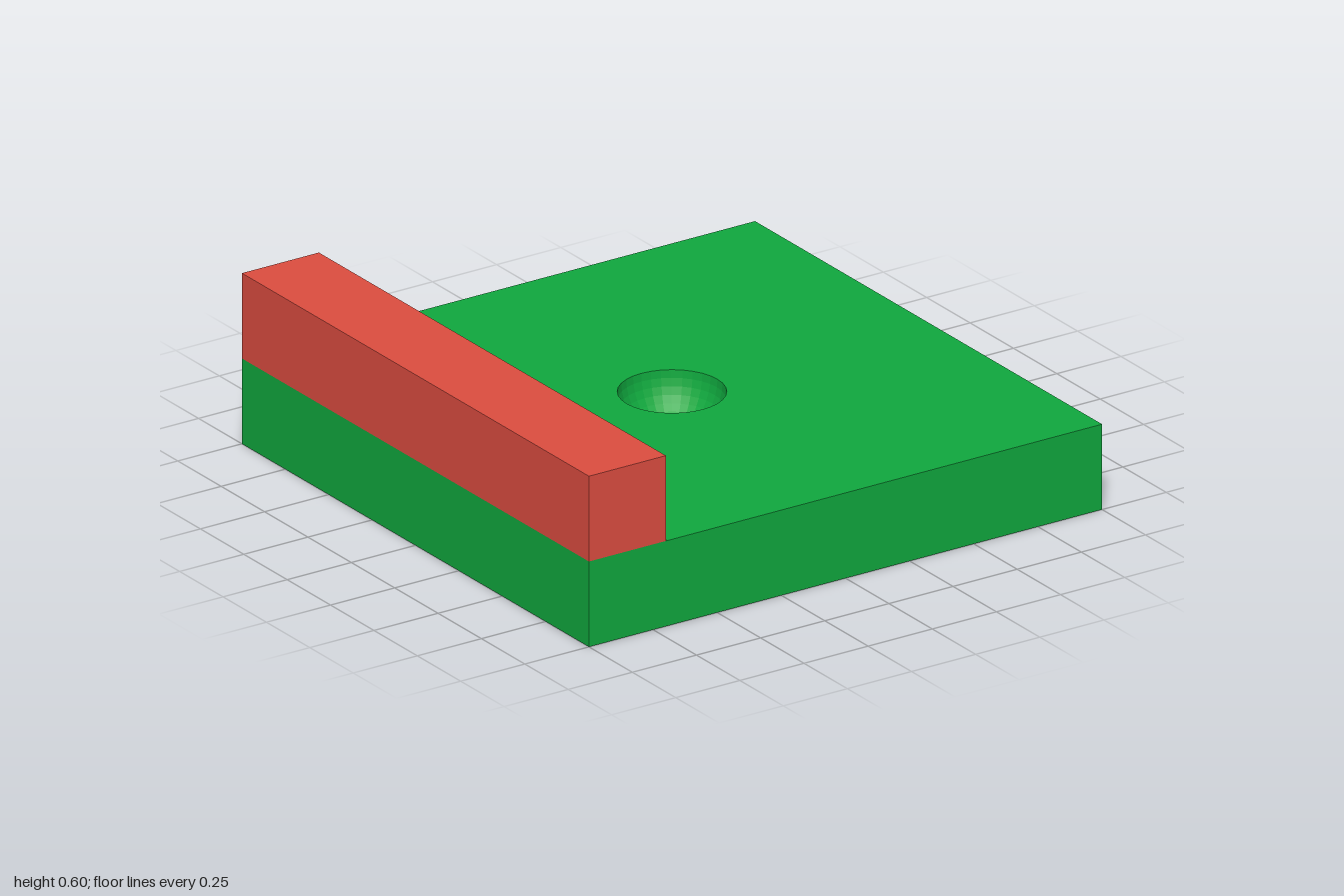
import * as THREE from 'three';

const GREEN = 0x10a83e, RED = 0xdd4d40;
const SIZE = 2, THICK = 0.3, BAR = 0.3, R = 0.177, SEGMENTS = 32, ROWS = 10;

function addMesh(parent, name, geometry, color, options = {}) {
  const mesh = new THREE.Mesh(geometry, new THREE.MeshStandardMaterial({ color, ...options }));
  mesh.name = name;
  parent.add(mesh);
  return mesh;
}

export function createModel() {
  const model = new THREE.Group();
  model.name = 'plateWithBar';
  const plate = new THREE.Group();
  plate.name = 'plate';
  model.add(plate);

  // Plate sides and underside: a box without its top face
  const box = new THREE.BoxGeometry(SIZE, THICK, SIZE);
  const index = Array.from(box.index.array);
  index.splice(12, 6);
  box.setIndex(index);
  box.clearGroups();
  addMesh(plate, 'plateBody', box, GREEN).position.y = THICK / 2;

  // Plate top with a round opening
  const h = SIZE / 2;
  const top = new THREE.Shape([[-h, -h], [h, -h], [h, h], [-h, h]].map(([x, y]) => new THREE.Vector2(x, y)));
  const rim = [];
  for (let i = 0; i < SEGMENTS; i++) {
    const a = -i / SEGMENTS * Math.PI * 2;
    rim.push(new THREE.Vector2(Math.cos(a) * R, Math.sin(a) * R));
  }
  top.holes.push(new THREE.Path(rim));
  const topMesh = addMesh(plate, 'plateTop', new THREE.ShapeGeometry(top), GREEN);
  topMesh.rotation.x = -Math.PI / 2;
  topMesh.position.y = THICK;

  // Hemispherical hollow, profile from the rim down to the bottom
  const profile = [];
  for (let i = 0; i <= ROWS; i++) {
    const a = i / ROWS * Math.PI / 2;
    profile.push(new THREE.Vector2(i === ROWS ? 0 : Math.cos(a) * R, -Math.sin(a) * R));
  }
  addMesh(plate, 'hollow', new THREE.LatheGeometry(profile, SEGMENTS), GREEN,
    { side: THREE.DoubleSide, flatShading: true }).position.y = THICK;

  // Raised bar along one edge
  addMesh(model, 'edgeBar', new THREE.BoxGeometry(BAR, BAR, SIZE), RED)
    .position.set(-h + BAR / 2, THICK + BAR / 2, 0);

  return model;
}
